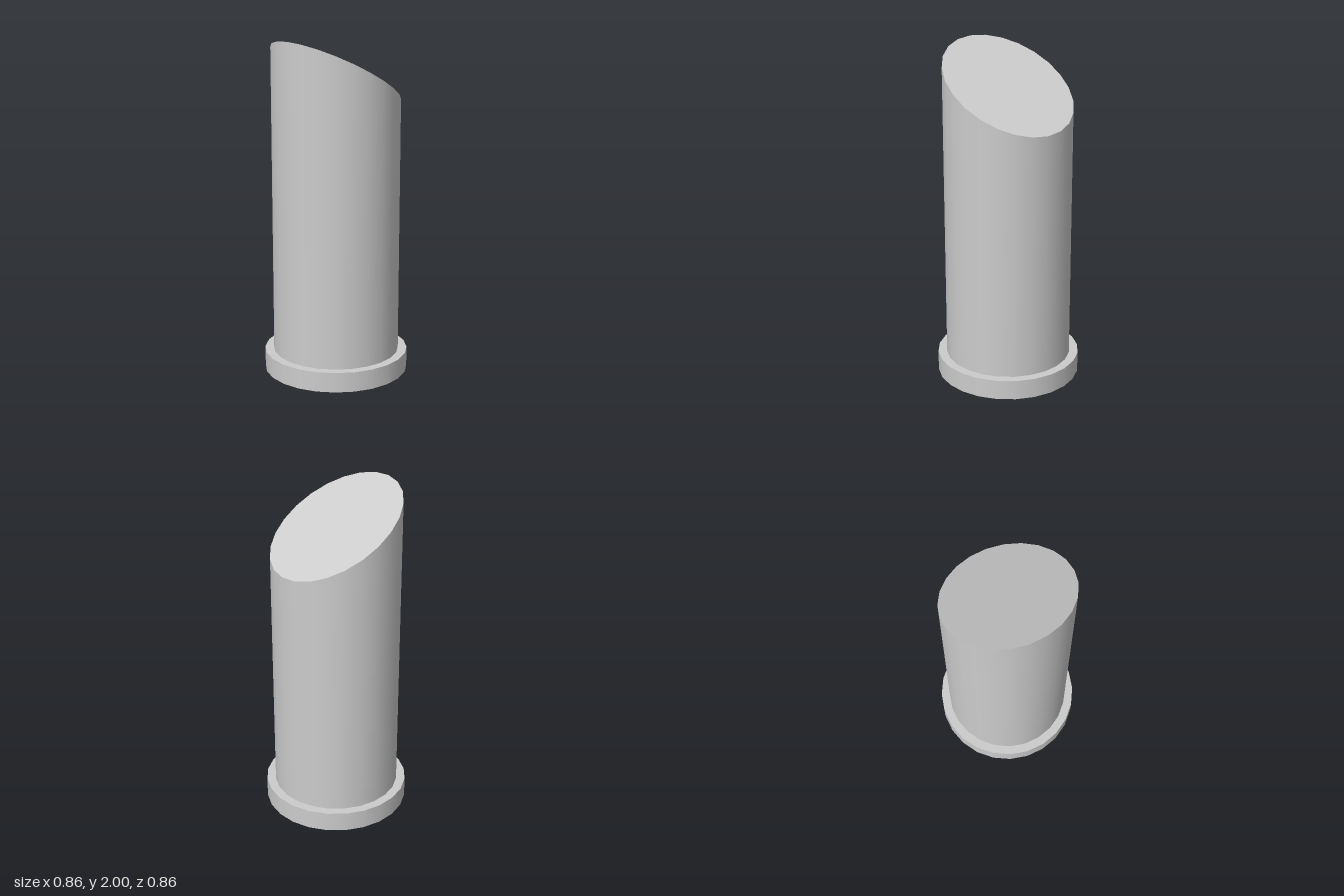
import * as THREE from 'three';

const BASE_H = 0.12;
const RADIUS = 0.375;
const LOW = 1.575;
const HIGH = 2;

// Closed cylinder whose top is cut by a slanted plane, high at the front
function slantedColumn() {
  const mid = (LOW + HIGH) / 2;
  const slope = (HIGH - LOW) / (2 * RADIUS);
  const geo = new THREE.CylinderGeometry(RADIUS, RADIUS, mid - BASE_H, 24);
  geo.translate(0, (mid + BASE_H) / 2, 0);
  const pos = geo.attributes.position;
  const nor = geo.attributes.normal;
  const capNormal = new THREE.Vector3(0, 1, -slope).normalize();
  for (let i = 0; i < pos.count; i++) {
    if (pos.getY(i) < mid - 0.01) continue;
    pos.setY(i, mid + slope * pos.getZ(i));
    if (nor.getY(i) > 0.9) nor.setXYZ(i, capNormal.x, capNormal.y, capNormal.z);
  }
  return geo;
}

export function createModel() {
  const group = new THREE.Group();
  group.name = 'slantedPost';
  const grey = new THREE.MeshStandardMaterial({ color: 0xcccccc });
  grey.name = 'light grey';

  // Round foot plate
  const base = new THREE.Mesh(new THREE.CylinderGeometry(0.428, 0.428, BASE_H, 24), grey);
  base.position.y = BASE_H / 2;
  base.name = 'base';

  // Upright column with the sloping end
  const column = new THREE.Mesh(slantedColumn(), grey);
  column.name = 'column';

  group.add(base, column);
  return group;
}
